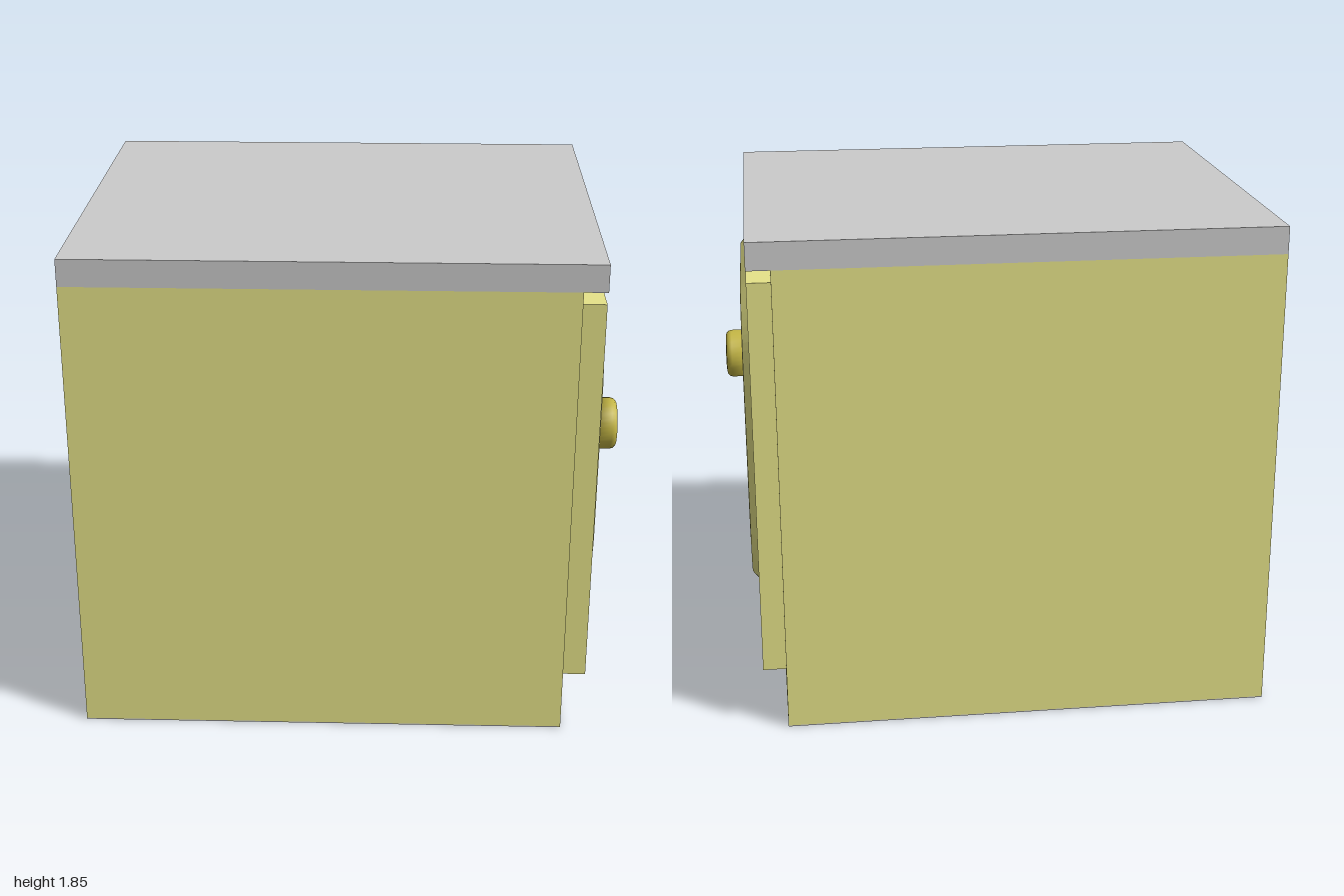
import * as THREE from 'three';

const paint = new THREE.MeshStandardMaterial({ color: 0xe6e389 });
const brass = new THREE.MeshStandardMaterial({ color: 0xc4b645 });
const grey = new THREE.MeshStandardMaterial({ color: 0xcccccc });

function add(group, name, geometry, material) {
  const mesh = new THREE.Mesh(geometry, material);
  mesh.name = name;
  group.add(mesh);
  return mesh;
}

// Box given by its minimum and maximum corners
function box(group, name, min, max, material) {
  const size = max.map((v, i) => v - min[i]);
  const mesh = add(group, name, new THREE.BoxGeometry(...size), material);
  mesh.position.set(...max.map((v, i) => (v + min[i]) / 2));
  return mesh;
}

// Rounded rectangle; shape x runs along the door, y is up
function roundedRect(halfWidth, bottom, top, r) {
  const s = new THREE.Shape();
  const w = halfWidth, q = Math.PI / 2;
  s.absarc(w - r, bottom + r, r, -q, 0);
  s.absarc(w - r, top - r, r, 0, q);
  s.absarc(-w + r, top - r, r, q, 2 * q);
  s.absarc(-w + r, bottom + r, r, 2 * q, 3 * q);
  s.closePath();
  return s;
}

// Extrudes a shape so that its front faces +x and ends at frontX
function plate(group, name, shape, depth, bevel, frontX) {
  const geometry = new THREE.ExtrudeGeometry(shape, {
    depth, curveSegments: 8, bevelEnabled: !!bevel, bevelSegments: 1, ...bevel,
  });
  geometry.rotateY(Math.PI / 2);
  geometry.computeBoundingBox();
  geometry.translate(frontX - geometry.boundingBox.max.x, 0, 0);
  return add(group, name, geometry, paint);
}

export function createModel() {
  const cabinet = new THREE.Group();
  cabinet.name = 'cabinet';

  // Carcass, grey underside and worktop
  box(cabinet, 'body', [-1, 0.004, -0.8], [0.81, 1.75, 0.8], paint);
  box(cabinet, 'underside', [-1, 0, -0.8], [0.81, 0.004, 0.8], grey);
  box(cabinet, 'worktop', [-1, 1.75, -0.8], [0.895, 1.85, 0.8], grey);

  // Door with a bevelled raised field and an inlaid panel
  const door = new THREE.Group();
  door.name = 'door';
  cabinet.add(door);
  box(door, 'doorSlab', [0.81, 0.225, -0.77], [0.895, 1.7, 0.78], paint);
  plate(door, 'raisedField', roundedRect(0.59, 0.445, 1.57, 0.28), 0.01,
    { bevelThickness: 0.025, bevelSize: 0.03 }, 0.92);
  plate(door, 'innerPanel', roundedRect(0.53, 0.525, 1.535, 0.26), 0.01, null, 0.922);

  // Round knob with a softened rim
  const profile = [
    [0, 0.91], [0.097, 0.91], [0.097, 0.975], [0.093, 0.988], [0.083, 0.996], [0.06, 0.999], [0, 1],
  ].map(([r, x]) => new THREE.Vector2(r, x));
  const knob = add(door, 'knob', new THREE.LatheGeometry(profile, 32), brass);
  knob.rotation.z = -Math.PI / 2;
  knob.position.set(0, 1.09, 0.395);

  return cabinet;
}
